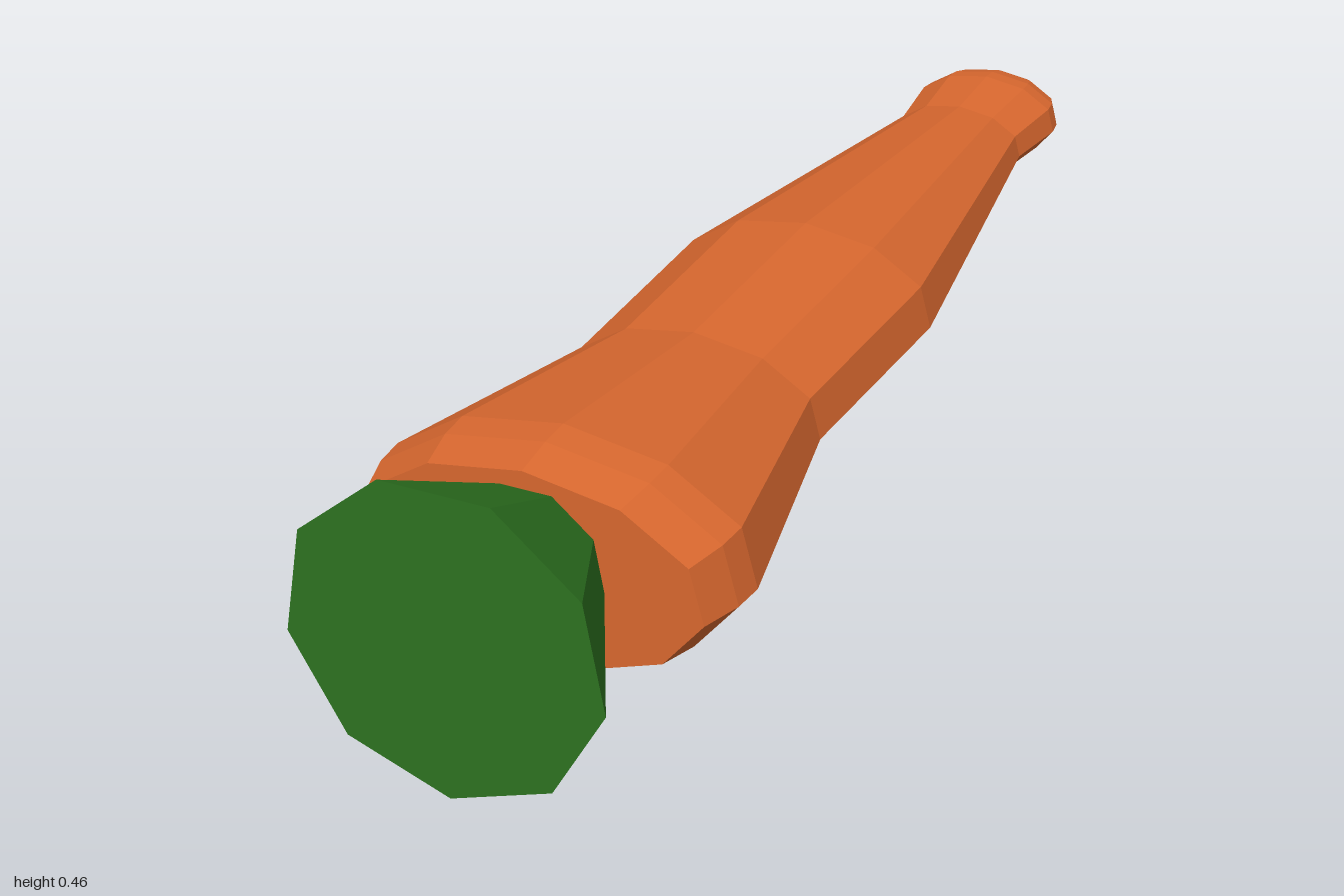
import * as THREE from 'three';

// Faceted solid turned around the z axis from [radius, z] pairs running back to front
function turned(name, profile, sides, startAngle, color) {
  const points = profile.map(([r, z]) => new THREE.Vector2(r, z));
  const geometry = new THREE.LatheGeometry(points, sides, startAngle, Math.PI * 2);
  geometry.rotateX(Math.PI / 2);
  const material = new THREE.MeshStandardMaterial({ color, flatShading: true });
  const mesh = new THREE.Mesh(geometry, material);
  mesh.name = name;
  return mesh;
}

export function createModel() {
  const group = new THREE.Group();
  group.name = 'carrot';

  // Rounded tip
  const rootProfile = [];
  const steps = 6;
  for (let i = 0; i <= steps; i++) {
    const a = (i / steps) * Math.PI / 2;
    rootProfile.push([0.129 * Math.sin(a), -0.885 - 0.115 * Math.cos(a)]);
  }

  // Body swelling towards the flat crown
  rootProfile.push(
    [0.114, -0.76], [0.214, -0.12], [0.204, 0.27],
    [0.29, 0.66], [0.286, 0.71], [0.267, 0.775], [0, 0.775]
  );

  // Flattened eleven-sided root, one corner pointing up
  const root = turned('root', rootProfile, 11, Math.PI, 0xd9682f);
  root.geometry.scale(1, 0.555, 1);
  root.position.y = 0.227;
  group.add(root);

  // Nine-sided flaring leaf tuft, one corner pointing down
  const leaves = turned('leafTuft', [[0, 0.75], [0.102, 0.75], [0.238, 1], [0, 1]], 9, 0, 0x2d7320);
  leaves.position.set(0.004, 0.239, 0);
  group.add(leaves);

  return group;
}
